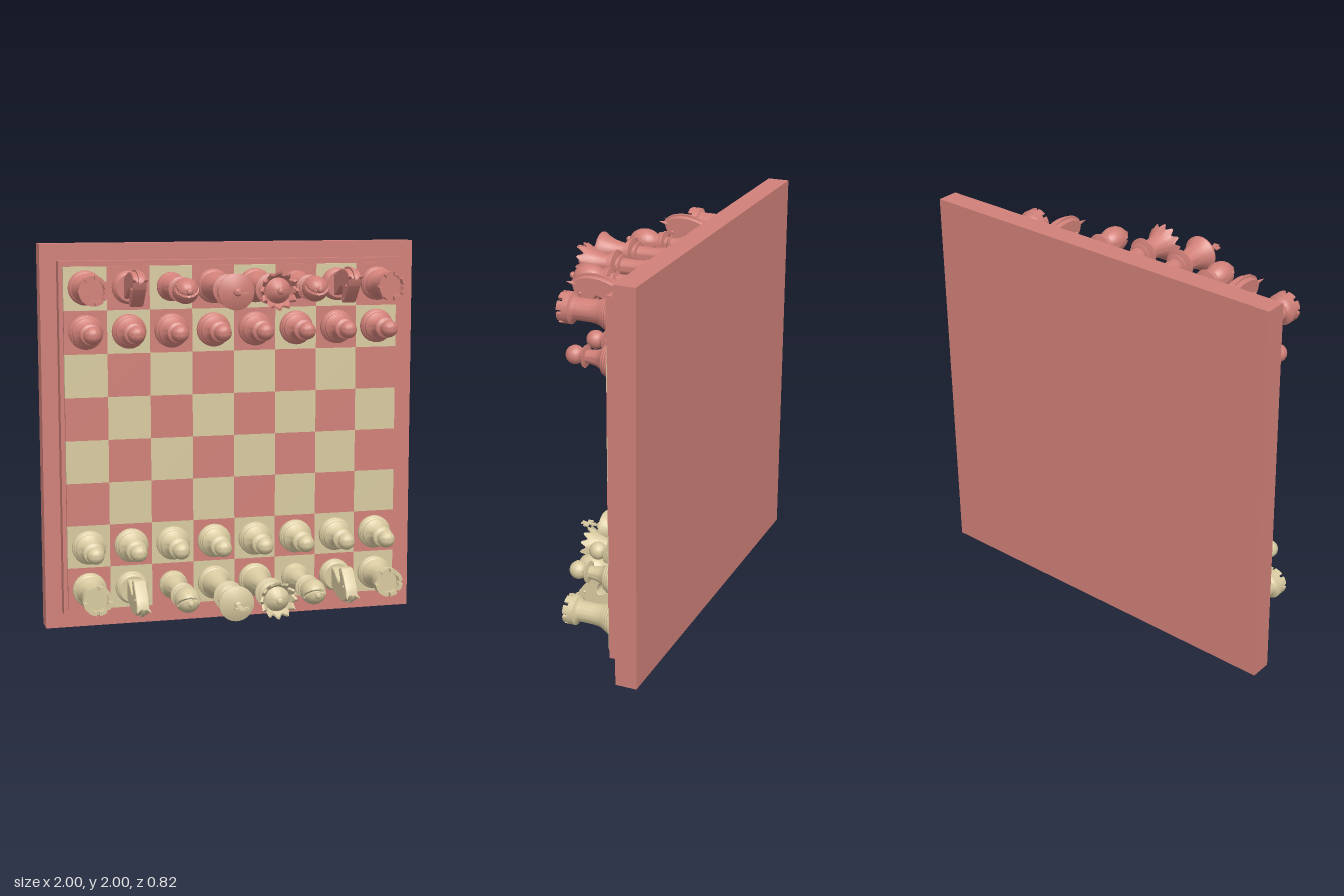
import * as THREE from 'three';
import { mergeGeometries, toCreasedNormals } from 'three/addons/utils/BufferGeometryUtils.js';

const red = new THREE.MeshStandardMaterial({ color: 0xd08078 });
const cream = new THREE.MeshStandardMaterial({ color: 0xd8caa0 });

const crease = (g) => toCreasedNormals(g, 0.6);
const lathe = (pts, seg = 32) =>
  crease(new THREE.LatheGeometry(pts.map(([r, h]) => new THREE.Vector2(r, h)), seg));
const ball = (r, h) => crease(new THREE.SphereGeometry(r, 20, 14).translate(0, h, 0));
const join = (...gs) => mergeGeometries(gs.map((g) => {
  const n = g.index ? g.toNonIndexed() : g;
  n.deleteAttribute('uv');
  return n;
}));

// stepped foot shared by all pieces
const foot = (r) => [[0, 0], [r, 0], [r, 0.02], [r * 0.93, 0.027], [r * 0.93, 0.034],
  [r * 0.85, 0.04], [r * 0.82, 0.05]];

function pawn() {
  return join(
    lathe([...foot(0.088), [0.05, 0.068], [0.04, 0.09], [0.034, 0.12], [0.032, 0.145],
      [0.055, 0.15], [0.052, 0.157], [0.034, 0.166], [0.028, 0.18], [0, 0.18]]),
    ball(0.045, 0.207));
}

function rook() {
  const parts = [lathe([...foot(0.088), [0.064, 0.064], [0.056, 0.085], [0.053, 0.12],
    [0.053, 0.195], [0.06, 0.205], [0.075, 0.212], [0.075, 0.242], [0.053, 0.242],
    [0.053, 0.23], [0, 0.23]])];
  // battlements
  for (let i = 0; i < 8; i++) {
    const a = i * Math.PI / 4, s = new THREE.Shape();
    s.absarc(0, 0, 0.075, a + 0.1, a + 0.68, false);
    s.absarc(0, 0, 0.055, a + 0.68, a + 0.1, true);
    parts.push(new THREE.ExtrudeGeometry(s, { depth: 0.026, bevelEnabled: false, curveSegments: 5 })
      .rotateX(-Math.PI / 2).translate(0, 0.24, 0));
  }
  return join(...parts);
}

function knight() {
  // side profile: forward, up
  const s = new THREE.Shape();
  s.moveTo(-0.05, 0.05);
  s.bezierCurveTo(-0.075, 0.12, -0.1, 0.17, -0.088, 0.25);
  s.quadraticCurveTo(-0.078, 0.3, -0.045, 0.315);
  s.lineTo(-0.01, 0.305);
  s.quadraticCurveTo(0.04, 0.27, 0.083, 0.225);
  s.lineTo(0.085, 0.195);
  s.lineTo(0.065, 0.18);
  s.quadraticCurveTo(0.02, 0.215, 0.0, 0.19);
  s.bezierCurveTo(0.01, 0.14, 0.055, 0.11, 0.055, 0.05);
  s.closePath();
  const head = new THREE.ExtrudeGeometry(s, { depth: 0.046, bevelThickness: 0.01, bevelSize: 0.006,
    bevelOffset: -0.006, bevelSegments: 2, curveSegments: 10 }).translate(0, 0, -0.023);
  const parts = [crease(head)];
  // mane ridge along the back of the neck
  const mane = new THREE.Shape();
  mane.moveTo(-0.05, 0.07);
  mane.bezierCurveTo(-0.095, 0.14, -0.11, 0.2, -0.092, 0.27);
  mane.quadraticCurveTo(-0.08, 0.32, -0.04, 0.33);
  mane.lineTo(-0.04, 0.29);
  mane.bezierCurveTo(-0.07, 0.25, -0.06, 0.15, -0.03, 0.07);
  parts.push(new THREE.ExtrudeGeometry(mane, { depth: 0.016, bevelEnabled: false, curveSegments: 10 })
    .translate(0, 0, -0.008));
  for (const side of [-1, 1]) {
    // ear, eye and nostril
    parts.push(new THREE.ConeGeometry(0.016, 0.06, 8).rotateX(side * 0.3).rotateZ(0.25)
      .translate(-0.05, 0.315, side * 0.028));
    parts.push(new THREE.SphereGeometry(0.009, 10, 8).translate(-0.005, 0.27, side * 0.032));
    parts.push(new THREE.SphereGeometry(0.006, 8, 6).translate(0.065, 0.215, side * 0.031));
  }
  const body = join(...parts).rotateY(Math.PI / 2);
  return join(body, lathe([...foot(0.085), [0.076, 0.055], [0.07, 0.06], [0, 0.06]]));
}

function bishop() {
  const stem = lathe([...foot(0.074), [0.055, 0.07], [0.045, 0.1], [0.036, 0.15], [0.034, 0.19],
    [0.05, 0.198], [0.036, 0.208], [0.036, 0.222], [0.064, 0.23], [0.064, 0.237], [0.044, 0.245],
    [0.056, 0.253], [0.056, 0.26], [0.038, 0.266], [0.038, 0.28], [0, 0.28]]);
  // mitre with a slanted slit
  const g = new THREE.SphereGeometry(1, 40, 40);
  const p = g.attributes.position, v = new THREE.Vector3();
  for (let i = 0; i < p.count; i++) {
    v.fromBufferAttribute(p, i);
    const k = Math.abs(v.y * 0.7 + v.z * 0.7 - 0.42) < 0.07 && v.z < 0.3 ? 0.82 : 1;
    p.setXYZ(i, v.x * 0.065 * k, 0.34 + v.y * 0.083 * (k < 1 ? 0.9 : 1), v.z * 0.065 * k);
  }
  return join(stem, crease(g), ball(0.016, 0.43));
}

// tall stem with collars shared by king and queen
const royalStem = (h) => lathe([...foot(0.088), [0.066, 0.07], [0.055, 0.11], [0.045, 0.16],
  [0.041, 0.21], [0.042, h - 0.035], [0.06, h - 0.03], [0.06, h - 0.023], [0.045, h - 0.016],
  [0.045, h - 0.008], [0.078, h], [0.078, h + 0.007], [0.055, h + 0.015], [0.062, h + 0.022],
  [0.062, h + 0.03], [0.046, h + 0.037], [0.046, h + 0.06], [0, h + 0.06]]);

function king() {
  const head = lathe([[0, 0.35], [0.046, 0.35], [0.05, 0.38], [0.06, 0.42], [0.078, 0.46],
    [0.09, 0.475], [0.09, 0.483], [0.07, 0.492], [0.03, 0.503], [0, 0.505]]);
  // flared cross
  const parts = [royalStem(0.31), head, ball(0.02, 0.51)];
  for (let i = 0; i < 4; i++) {
    const arm = new THREE.Shape([[0, 0], [0.006, 0.006], [0.017, 0.036], [-0.017, 0.036], [-0.006, 0.006]]
      .map(([x, y]) => new THREE.Vector2(x, y)));
    parts.push(new THREE.ExtrudeGeometry(arm, { depth: 0.008, bevelEnabled: false })
      .translate(0, 0, -0.004).rotateZ(i * Math.PI / 2).translate(0, 0.58, 0));
  }
  parts.push(new THREE.BoxGeometry(0.014, 0.06, 0.008).translate(0, 0.545, 0));
  return join(...parts);
}

function queen() {
  // crown rim is drawn out into a ring of points
  const g = new THREE.LatheGeometry([[0, 0.34], [0.046, 0.34], [0.05, 0.37], [0.06, 0.41],
    [0.076, 0.442], [0.092, 0.465], [0.08, 0.465], [0.064, 0.44], [0.045, 0.462], [0.025, 0.476], [0, 0.48]]
    .map(([r, h]) => new THREE.Vector2(r, h)), 72);
  const p = g.attributes.position;
  for (let i = 0; i < p.count; i++) {
    const x = p.getX(i), z = p.getZ(i), r = Math.hypot(x, z);
    if (r < 0.079) continue;
    const w = Math.cos(12 * Math.atan2(z, x)), k = 1 + 0.07 * w;
    p.setXYZ(i, x * k, p.getY(i) + 0.014 * w, z * k);
  }
  return join(royalStem(0.3), crease(g), ball(0.017, 0.49));
}

export function createModel() {
  const model = new THREE.Group();
  model.name = 'chessSet';
  // built lying flat, then stood upright with the pieces towards the front
  const set = new THREE.Group();
  set.name = 'boardAndPieces';
  set.rotation.x = Math.PI / 2;
  set.position.y = 1;
  model.add(set);

  const add = (name, geo, mat, x, y, z, turn = 0) => {
    const m = new THREE.Mesh(geo, mat);
    m.name = name;
    m.position.set(x, y, z);
    m.rotation.y = turn;
    set.add(m);
  };

  // board
  add('boardBase', new THREE.BoxGeometry(2, 0.11, 2), red, 0, -0.355, 0);
  add('boardStep', new THREE.BoxGeometry(1.83, 0.07, 1.83), red, 0, -0.265, 0);
  const cell = 0.2218, at = (i) => (i - 3.5) * cell;
  const square = new THREE.BoxGeometry(cell, 0.02, cell);
  for (let row = 0; row < 8; row++)
    for (let col = 0; col < 8; col++)
      add('square', square, (row + col) % 2 ? cream : red, at(col) - 0.007, -0.22, -at(row));

  // pieces: two facing sides
  const geo = { pawn: pawn(), rook: rook(), knight: knight(), bishop: bishop(), king: king(), queen: queen() };
  const order = ['rook', 'knight', 'bishop', 'king', 'queen', 'bishop', 'knight', 'rook'];
  for (const [mat, side] of [[cream, 1], [red, -1]]) {
    const turn = side > 0 ? 0 : Math.PI;
    order.forEach((name, i) => {
      add(name, geo[name], mat, at(i) - 0.007, -0.21, side * 0.781, turn);
      add('pawn', geo.pawn, mat, at(i) - 0.007, -0.21, side * 0.557, turn);
    });
  }
  return model;
}
